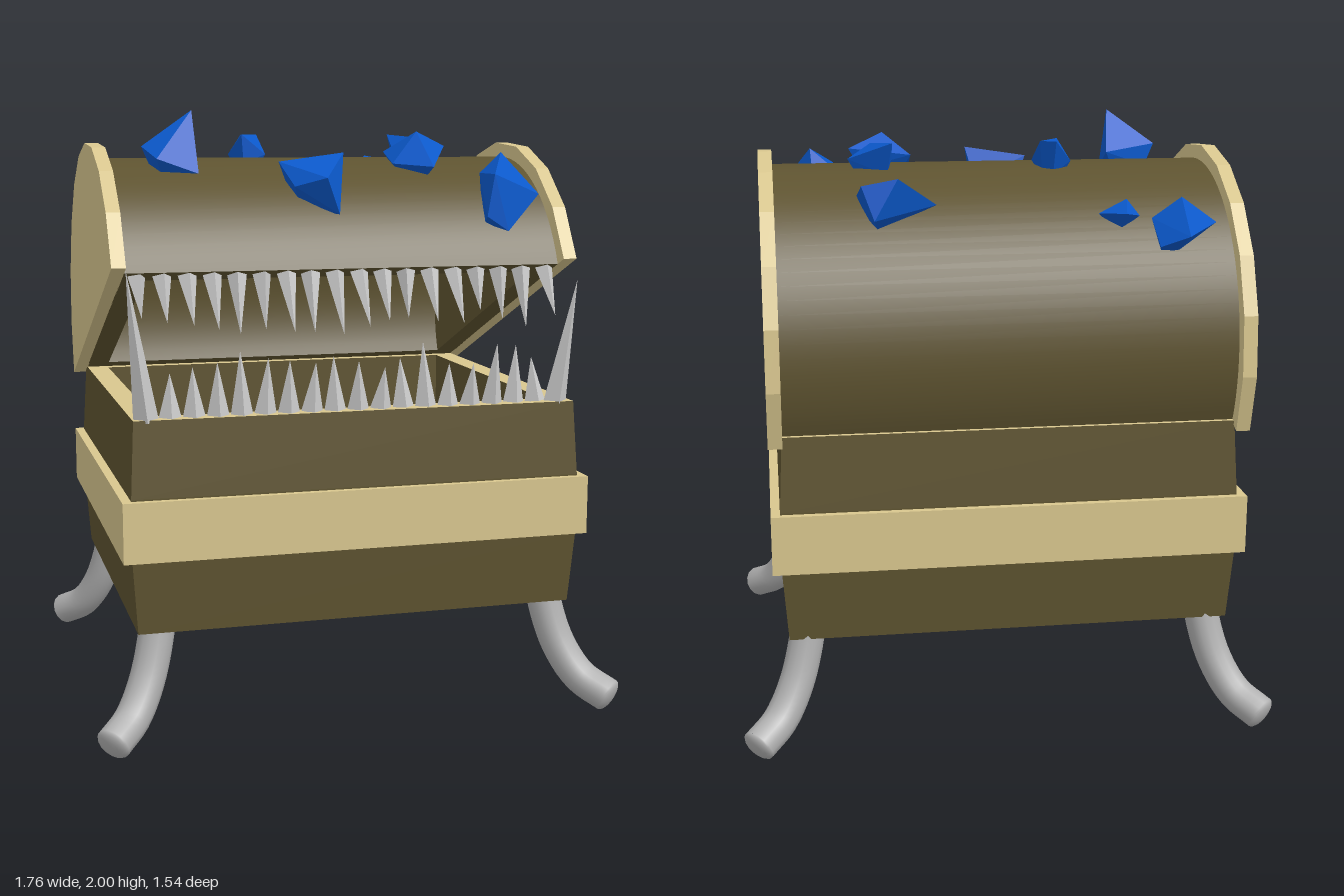
import * as THREE from 'three';
import { toCreasedNormals } from 'three/addons/utils/BufferGeometryUtils.js';
import { ConvexGeometry } from 'three/addons/geometries/ConvexGeometry.js';

const paint = (color, extra = {}) => new THREE.MeshStandardMaterial({ color, ...extra });
const brown = paint(0x5e5330);
const tan = paint(0xd8c68e);
const blue = paint(0x0b59cc, { flatShading: true });
const grey = paint(0xb0b0b0);
const toothGrey = paint(0xc4c4c4, { flatShading: true });
const CX = -0.005; // centre line of the chest
const LID_Y = 1.263, LID_Z = -0.0625; // axis of the lid barrel

function add(parent, name, geometry, material) {
  const mesh = new THREE.Mesh(geometry, material);
  mesh.name = name;
  parent.add(mesh);
  return mesh;
}

// Rectangular rings [y, half width, half depth] joined one after another
function loft(levels) {
  const corners = [[1, 1], [1, -1], [-1, -1], [-1, 1]];
  const at = ([y, hx, hz], k) => [corners[k % 4][0] * hx, y, corners[k % 4][1] * hz];
  const pos = [];
  for (let i = 0; i < levels.length - 1; i++) {
    for (let k = 0; k < 4; k++) {
      const a = at(levels[i], k), b = at(levels[i], k + 1);
      const c = at(levels[i + 1], k + 1), d = at(levels[i + 1], k);
      pos.push(...a, ...b, ...c, ...a, ...c, ...d);
    }
  }
  const g = new THREE.BufferGeometry();
  g.setAttribute('position', new THREE.Float32BufferAttribute(pos, 3));
  g.computeVertexNormals();
  return g.translate(CX, 0, 0.003);
}

// Half disc, or half ring when inner > 0, extruded along x and centred on x = 0
function halfRound(radius, inner, width, segments) {
  const s = new THREE.Shape();
  s.absarc(0, 0, radius, 0, Math.PI, false);
  if (inner) s.absarc(0, 0, inner, Math.PI, 0, true);
  s.closePath();
  // An arc is divided into twice the given number of segments
  const g = new THREE.ExtrudeGeometry(s, { depth: width, bevelEnabled: false, curveSegments: segments / 2 });
  return g.translate(0, 0, -width / 2).rotateY(-Math.PI / 2);
}

// Four-sided spike from base to tip
function spike(parent, name, base, tip, radius) {
  const from = new THREE.Vector3(...base);
  const dir = new THREE.Vector3(...tip).sub(from);
  const h = dir.length();
  const mesh = add(parent, name, new THREE.ConeGeometry(radius, h, 4).translate(0, h / 2, 0), toothGrey);
  mesh.position.copy(from);
  mesh.quaternion.setFromUnitVectors(new THREE.Vector3(0, 1, 0), dir.normalize());
}

let seed = 7;
const rand = () => (seed = (seed * 16807) % 2147483647) / 2147483647;

// Outer corner points [x, y, z] of each crystal
const CRYSTALS = [
  [[-0.56, 1.66, -0.66], [-0.69, 1.68, -0.49], [-0.58, 1.74, -0.44], [-0.47, 1.70, -0.51], [-0.56, 1.77, -0.535], [-0.48, 1.62, -0.6]],
  [[-0.38, 1.72, -0.55], [-0.445, 1.70, -0.45], [-0.41, 1.75, -0.41], [-0.31, 1.71, -0.45]],
  [[-0.21, 1.92, -0.23], [-0.27, 1.85, -0.17], [-0.235, 1.92, -0.1], [-0.16, 1.92, -0.2], [-0.145, 1.85, -0.12]],
  [[0.345, 1.84, -0.53], [0.46, 1.82, -0.535], [0.42, 1.71, -0.54], [0.465, 1.77, -0.37], [0.41, 1.79, -0.34], [0.25, 1.76, -0.34], [0.21, 1.74, -0.4]],
  [[0.335, 1.92, -0.21], [0.33, 1.86, -0.115], [0.4, 1.91, -0.09], [0.48, 1.865, -0.155]],
  [[-0.45, 2.0, 0.1], [-0.43, 1.86, 0], [-0.62, 1.88, 0.09], [-0.585, 1.84, 0.195], [-0.44, 1.79, 0.17]],
  [[0.255, 1.86, 0], [0.465, 1.88, 0.05], [0.365, 1.81, 0.235], [0.25, 1.82, 0.13], [0.345, 1.93, 0.1]],
  [[-0.18, 1.83, 0.225], [0.035, 1.86, 0.26], [-0.15, 1.75, 0.33], [-0.01, 1.66, 0.38], [-0.06, 1.78, 0.41]],
  [[0.59, 1.86, 0.28], [0.51, 1.79, 0.29], [0.695, 1.72, 0.37], [0.56, 1.6, 0.44], [0.48, 1.65, 0.45], [0.5, 1.79, 0.46]],
];

export function createModel() {
  const model = new THREE.Group();
  model.name = 'toothedChest';

  // Open box with a raised floor, flaring slightly towards the band
  add(model, 'chestBody', loft([
    [0.5, 0, 0], [0.5, 0.722, 0.607], [0.36, 0.722, 0.607], [0.36, 0.731, 0.616],
    [0.6, 0.748, 0.632], [0.8, 0.748, 0.632], [1.045, 0.735, 0.615],
  ]), brown);
  add(model, 'chestInside', loft([[1.045, 0.66, 0.54], [0.55, 0.66, 0.54], [0.55, 0, 0]]), brown);
  add(model, 'chestRim', loft([[1.045, 0.735, 0.615], [1.045, 0.66, 0.54]]), tan);
  add(model, 'chestBand', loft([
    [0.6, 0.73, 0.615], [0.6, 0.778, 0.655], [0.795, 0.778, 0.655], [0.795, 0.73, 0.615],
  ]), tan);

  // Lid, hinged open at the back
  const lid = new THREE.Group();
  lid.name = 'lid';
  lid.position.set(CX, LID_Y, LID_Z);
  lid.rotation.x = -0.402;
  model.add(lid);
  add(lid, 'lidBarrel', toCreasedNormals(halfRound(0.577, 0.5, 1.47, 40), 0.5), brown);
  for (const side of [1, -1]) {
    add(lid, 'lidInnerEnd', halfRound(0.505, 0, 0.075, 40), brown).position.x = side * 0.6975;
    add(lid, 'lidEndPanel', halfRound(0.63, 0, 0.046, 10), tan).position.x = side * 0.756;
  }

  // Upper row of teeth, leaning forward from the lip of the lid
  for (let i = 0; i < 18; i++) {
    const x = -0.695 + i * 0.0815;
    const h = 0.14 + 0.07 * rand();
    spike(model, 'upperTooth', [x, 1.487, 0.428],
      [x + 0.02 * (rand() - 0.5), 1.487 - h, 0.428 + h * (0.25 + 0.45 * rand())], 0.034);
  }

  // Lower row of teeth on the front rim
  for (let i = 0; i < 17; i++) {
    const x = -0.617 + i * 0.0767;
    spike(model, 'lowerTooth', [x, 1.045, 0.575],
      [x + 0.02 * (rand() - 0.5), 1.17 + 0.085 * rand(), 0.575 + 0.05 * (rand() - 0.4)], 0.036);
  }

  // Long fangs at the front corners
  spike(model, 'rightFang', [-0.695, 1.04, 0.585], [-0.757, 1.515, 0.638], 0.04);
  spike(model, 'leftFang', [0.68, 1.04, 0.58], [0.735, 1.45, 0.615], 0.04);

  // Curved legs splayed to the four corners
  for (const sx of [1, -1]) {
    for (const sz of [1, -1]) {
      const path = new THREE.CatmullRomCurve3([
        [0.655, 0.48, 0.545], [0.667, 0.36, 0.557], [0.707, 0.205, 0.597],
        [0.765, 0.1, 0.655], [0.835, 0.05, 0.725],
      ].map(([x, y, z]) => new THREE.Vector3(sx * x, y, sz * z)));
      const leg = new THREE.Group();
      leg.name = 'leg';
      model.add(leg);
      add(leg, 'legTube', new THREE.TubeGeometry(path, 20, 0.058, 14), grey);
      // Flattened dome closing the foot
      const foot = add(leg, 'footEnd',
        new THREE.SphereGeometry(0.058, 14, 6, 0, Math.PI * 2, 0, Math.PI / 2).scale(1, 0.4, 1), grey);
      foot.position.copy(path.getPoint(1));
      foot.quaternion.setFromUnitVectors(new THREE.Vector3(0, 1, 0), path.getTangent(1));
    }
  }

  // Crystals, each narrowing to a smaller base sunk into the lid
  for (const corners of CRYSTALS) {
    const points = corners.map((p) => new THREE.Vector3(...p));
    const middle = new THREE.Vector3();
    points.forEach((p) => middle.addScaledVector(p, 1 / points.length));
    const base = points.map((p) => {
      const q = p.clone().lerp(middle, 0.3);
      const scale = 0.56 / Math.hypot(q.y - LID_Y, q.z - LID_Z);
      return q.set(q.x, LID_Y + (q.y - LID_Y) * scale, LID_Z + (q.z - LID_Z) * scale);
    });
    add(model, 'crystal', new ConvexGeometry([...points, ...base]), blue);
  }
  return model;
}
